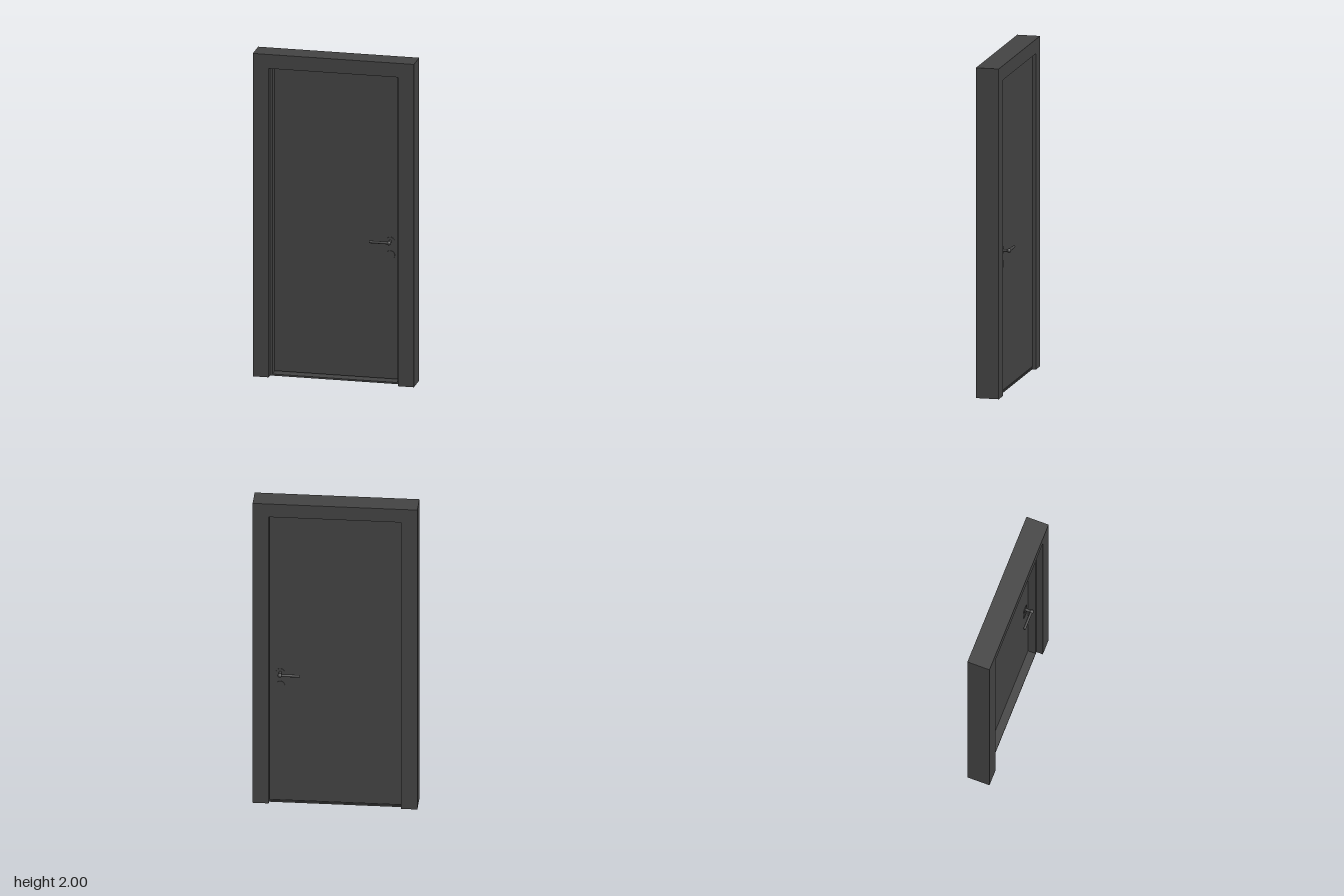
import * as THREE from 'three';

const material = new THREE.MeshStandardMaterial({ color: 0x444444 });

function add(parent, name, geometry, x = 0, y = 0, z = 0) {
  const mesh = new THREE.Mesh(geometry, material);
  mesh.name = name;
  mesh.position.set(x, y, z);
  parent.add(mesh);
  return mesh;
}

// Box given by its limits along each axis
function addBox(parent, name, [x0, x1], [y0, y1], [z0, z1]) {
  return add(parent, name, new THREE.BoxGeometry(x1 - x0, y1 - y0, z1 - z0),
    (x0 + x1) / 2, (y0 + y1) / 2, (z0 + z1) / 2);
}

// Upside-down U that runs from z0 to z1
function portal(outerX, outerY, innerX, innerY, z0, z1) {
  const shape = new THREE.Shape([
    [-outerX, 0], [-innerX, 0], [-innerX, innerY], [innerX, innerY],
    [innerX, 0], [outerX, 0], [outerX, outerY], [-outerX, outerY],
  ].map(([x, y]) => new THREE.Vector2(x, y)));
  return new THREE.ExtrudeGeometry(shape, { depth: z1 - z0, bevelEnabled: false }).translate(0, 0, z0);
}

// Lever set pointing out along +z from the door face
function createHandle() {
  const handle = new THREE.Group();
  const disc = (name, radius, length, y, z) =>
    add(handle, name, new THREE.CylinderGeometry(radius, radius, length, 32).rotateX(Math.PI / 2), 0, y, z);
  disc('rose', 0.026, 0.004, 0, 0.002);
  disc('keyEscutcheon', 0.027, 0.004, -0.085, 0.002);
  disc('neck', 0.009, 0.044, 0, 0.022);
  add(handle, 'hub', new THREE.SphereGeometry(0.013, 24, 16), 0, 0, 0.042);
  add(handle, 'lever', new THREE.CylinderGeometry(0.008, 0.008, 0.12, 20).rotateZ(Math.PI / 2), -0.06, 0, 0.042);
  return handle;
}

export function createModel() {
  const model = new THREE.Group();
  model.name = 'door';

  // Frame, with a stop that the leaf closes against
  const doorBack = -0.033, doorFront = -0.003;
  add(model, 'frame', portal(0.49, 2, 0.394, 1.913, -0.055, 0.085));
  add(model, 'doorStop', portal(0.394, 1.913, 0.38, 1.902, doorFront, 0.045));
  addBox(model, 'threshold', [-0.394, 0.394], [0, 0.01], [doorBack, 0.045]);

  // Leaf, leaving a thin gap over the threshold
  addBox(model, 'doorLeaf', [-0.391, 0.391], [0.016, 1.91], [doorBack, doorFront]);

  // Matching lever sets on both faces
  const front = createHandle();
  front.name = 'frontHandle';
  front.position.set(0.327, 0.868, doorFront);
  model.add(front);

  const back = createHandle();
  back.name = 'backHandle';
  back.position.set(0.327, 0.868, doorBack);
  back.rotation.y = Math.PI;
  // The lever points to the same side on both faces
  back.getObjectByName('lever').position.x *= -1;
  model.add(back);

  return model;
}
